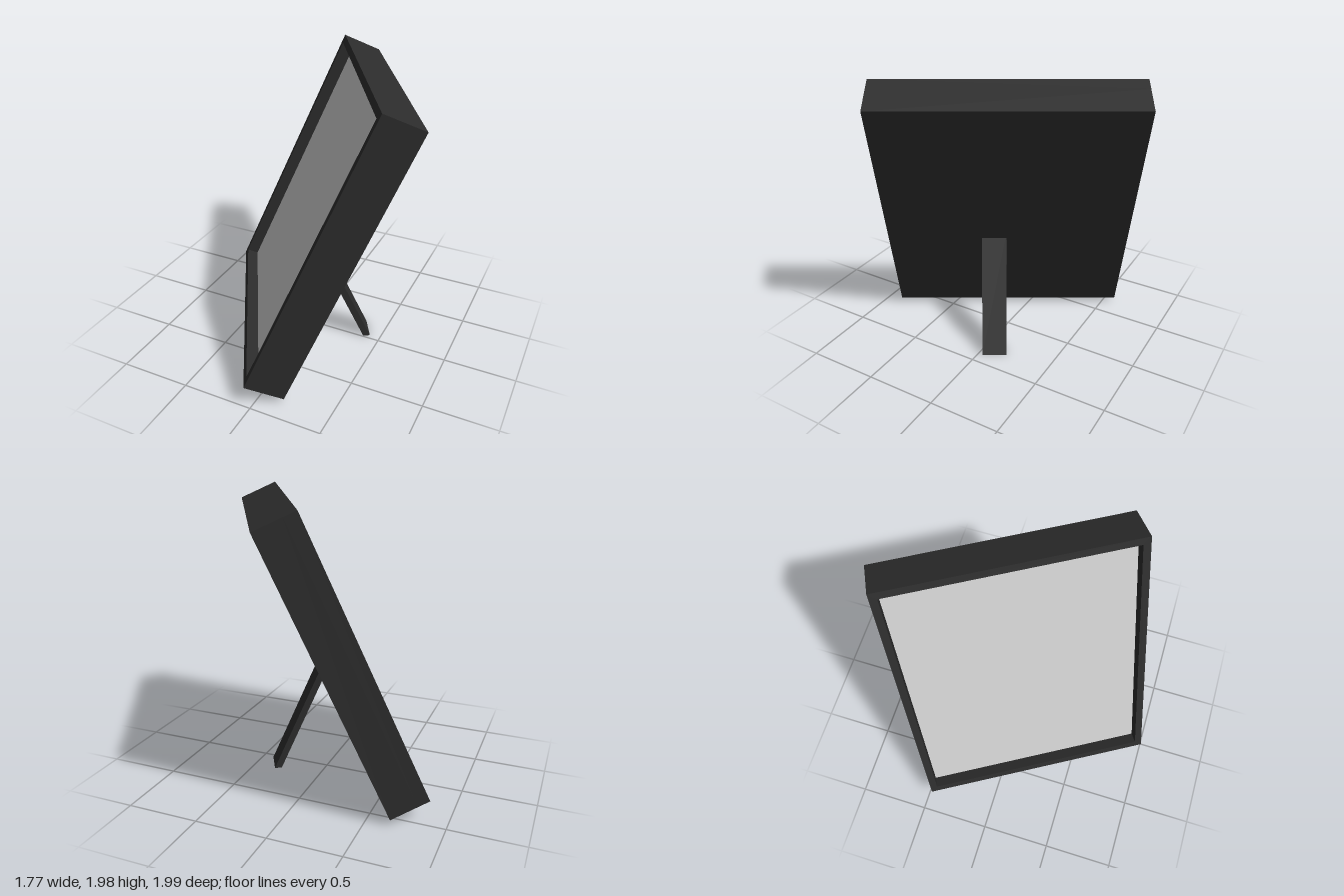
import * as THREE from 'three';

const W = 1.68, H = 2.0, D = 0.28;      // outer case size
const BORDER = 0.05, RECESS = 0.087;    // lip width and depth of the opening
const TILT = THREE.MathUtils.degToRad(24);

function rectangle(PathType, w, h) {
  const p = new PathType();
  p.moveTo(-w / 2, -h / 2);
  p.lineTo(w / 2, -h / 2);
  p.lineTo(w / 2, h / 2);
  p.lineTo(-w / 2, h / 2);
  p.closePath();
  return p;
}

export function createModel() {
  const black = new THREE.MeshStandardMaterial({ color: 0x2c2c2c });
  black.name = 'charcoal frame';
  const grey = new THREE.MeshStandardMaterial({ color: 0xcccccc });
  grey.name = 'light grey panel';

  const model = new THREE.Group();
  model.name = 'standingPictureFrame';
  model.rotation.y = -Math.PI / 3;

  function add(parent, name, geometry, material, x = 0, y = 0, z = 0) {
    const mesh = new THREE.Mesh(geometry, material);
    mesh.name = name;
    mesh.position.set(x, y, z);
    parent.add(mesh);
    return mesh;
  }

  // Case leaning back
  const frame = new THREE.Group();
  frame.name = 'frame';
  frame.position.y = 1.008;
  frame.rotation.x = -TILT;
  model.add(frame);

  // Solid back block
  const backDepth = D - RECESS;
  add(frame, 'backBlock', new THREE.BoxGeometry(W, H, backDepth), black, 0, 0, -RECESS / 2);

  // Raised rim around the opening
  const rim = rectangle(THREE.Shape, W, H);
  rim.holes.push(rectangle(THREE.Path, W - 2 * BORDER, H - 2 * BORDER));
  add(frame, 'rim', new THREE.ExtrudeGeometry(rim, { depth: RECESS, bevelEnabled: false }),
    black, 0, 0, D / 2 - RECESS);

  // Recessed panel
  add(frame, 'panel', new THREE.BoxGeometry(W - 2 * BORDER, H - 2 * BORDER, 0.004),
    grey, 0, 0, D / 2 - RECESS + 0.001);

  // Rear support leg: side profile (distance behind, height), cut flat at the ground
  const legWidth = 0.173, legX = 0.096;
  const profile = new THREE.Shape([
    [0.333, 0], [0.383, 0], [0.025, 0.8], [-0.027, 0.8],
  ].map(([s, y]) => new THREE.Vector2(s, y)));
  const legGeometry = new THREE.ExtrudeGeometry(profile, { depth: legWidth, bevelEnabled: false });
  legGeometry.translate(0, 0, -legWidth / 2);
  legGeometry.rotateY(Math.PI / 2);
  add(model, 'supportLeg', legGeometry, black, legX);

  // Outer group keeps the yaw separate from the returned root
  const root = new THREE.Group();
  root.name = 'pictureFrame';
  root.add(model);
  return root;
}
